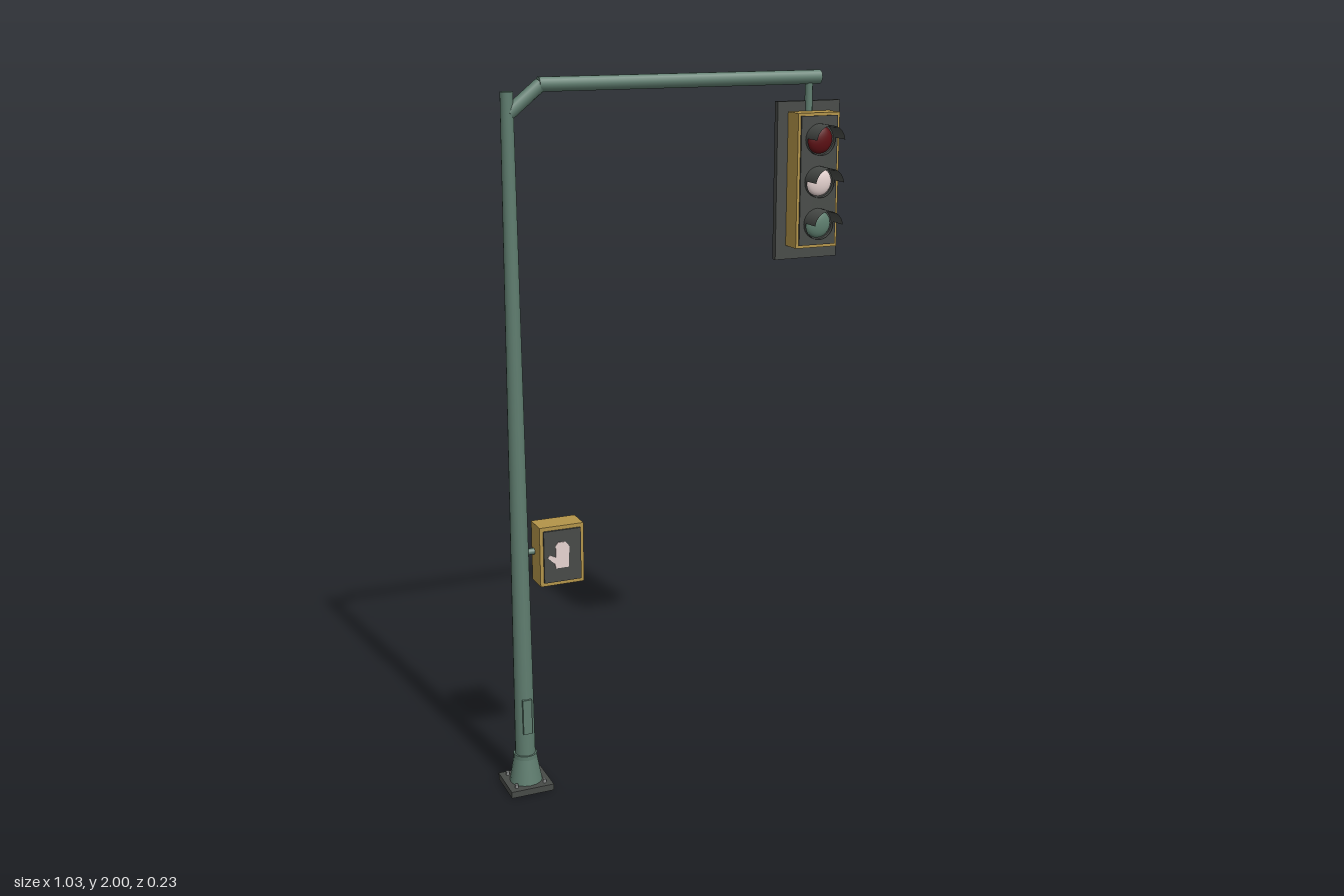
import * as THREE from 'three';

const mat = (name, color, side = THREE.FrontSide) => {
  const m = new THREE.MeshStandardMaterial({ color, side });
  m.name = name;
  return m;
};

export function createModel() {
  const green = mat('paintedGreen', 0x5f7d6f);
  const dark = mat('darkGrey', 0x474a47, THREE.DoubleSide);
  const yellow = mat('housingYellow', 0xb39449);
  const red = mat('redLens', 0x5e1014);
  const pale = mat('paleLens', 0xe6d3d0);
  const lensGreen = mat('greenLens', 0x5f8070);
  const steel = mat('steel', 0x8c8e8e);

  const model = new THREE.Group();
  model.name = 'trafficSignal';
  const add = (name, geo, material, x = 0, y = 0, z = 0, parent = model) => {
    const mesh = new THREE.Mesh(geo, material);
    mesh.name = name;
    mesh.position.set(x, y, z);
    parent.add(mesh);
    return mesh;
  };
  // Box given by its limits on each axis
  const box = (name, material, x0, x1, y0, y1, z0, z1) =>
    add(name, new THREE.BoxGeometry(x1 - x0, y1 - y0, z1 - z0), material,
      (x0 + x1) / 2, (y0 + y1) / 2, (z0 + z1) / 2);
  // Straight round bar between two points
  const bar = (name, material, a, b, r, sides) => {
    const d = b.clone().sub(a);
    const mesh = add(name, new THREE.CylinderGeometry(r, r, d.length(), sides), material);
    mesh.position.copy(a).add(b).multiplyScalar(0.5);
    mesh.quaternion.setFromUnitVectors(new THREE.Vector3(0, 1, 0), d.normalize());
    return mesh;
  };
  const V = (x, y, z) => new THREE.Vector3(x, y, z);
  const PX = -0.454, PZ = -0.021; // pole axis

  // Base plate, bolts and flared foot
  box('basePlate', dark, PX - 0.063, PX + 0.063, 0, 0.019, PZ - 0.063, PZ + 0.063);
  for (const sx of [-1, 1]) for (const sz of [-1, 1])
    add('anchorBolt', new THREE.CylinderGeometry(0.005, 0.005, 0.012, 6), steel,
      PX + sx * 0.042, 0.024, PZ + sz * 0.042);
  add('foot', new THREE.CylinderGeometry(0.034, 0.047, 0.073, 16), green, PX, 0.0555, PZ);
  add('footCollar', new THREE.CylinderGeometry(0.034, 0.034, 0.014, 16), green, PX, 0.098, PZ);

  // Tapered pole with its access cover
  add('pole', new THREE.CylinderGeometry(0.017, 0.029, 1.875, 16), green, PX, 1.0275, PZ);
  box('accessCover', green, PX - 0.013, PX + 0.013, 0.175, 0.28, PZ, 0.012);

  // Mast arm with angled knee
  const knee = V(-0.362, 1.981, PZ);
  bar('armKnee', green, V(PX + 0.004, 1.91, PZ), knee, 0.0185, 10);
  bar('mastArm', green, V(-0.368, 1.981, PZ), V(0.45, 1.981, PZ), 0.0198, 10);

  // Signal head
  const SX = 0.418;
  bar('hanger', green, V(SX, 1.975, PZ), V(SX, 1.88, PZ), 0.011, 10);
  box('backplate', dark, 0.322, 0.515, 1.479, 1.917, -0.036, -0.018);
  box('signalHousing', yellow, SX - 0.064, SX + 0.064, 1.518, 1.889, -0.042, 0.043);
  box('signalDoor', dark, SX - 0.056, SX + 0.056, 1.526, 1.881, 0.042, 0.048);
  const lenses = [['redLens', red], ['middleLens', pale], ['greenLens', lensGreen]];
  lenses.forEach(([name, material], i) => {
    const unit = new THREE.Group();
    unit.name = name + 'Unit';
    unit.position.set(SX, 1.817 - i * 0.116, 0.047);
    model.add(unit);
    const dome = new THREE.SphereGeometry(0.039, 24, 8, 0, Math.PI * 2, 0, Math.PI / 2);
    dome.rotateX(Math.PI / 2).scale(1, 1, 0.4);
    add(name, dome, material, 0, 0, 0, unit);
    const ring = new THREE.CylinderGeometry(0.043, 0.043, 0.014, 24, 1, true);
    add('lensRing', ring.rotateX(Math.PI / 2), dark, 0, 0, 0.007, unit);
    // Hood over the upper half of the lens
    const arc = Math.PI * 0.94;
    const visor = new THREE.CylinderGeometry(0.043, 0.043, 0.068, 16, 1, true, Math.PI - arc / 2, arc);
    add('visor', visor.rotateX(Math.PI / 2), dark, 0, 0, 0.034, unit);
  });
  for (const y of [1.852, 1.598])
    box('rearClip', steel, SX - 0.013, SX + 0.013, y - 0.009, y + 0.009, -0.115, -0.071);

  // Pedestrian signal box
  bar('boxBracket', green, V(PX, 0.713, PZ), V(-0.405, 0.713, PZ), 0.009, 10);
  box('pedestrianBox', yellow, -0.412, -0.284, 0.624, 0.796, -0.04, 0.031);
  box('pedestrianFace', dark, -0.402, -0.294, 0.635, 0.785, 0.03, 0.037);
  // Raised hand symbol
  const hand = new THREE.Shape([
    [-0.369, 0.676], [-0.332, 0.676], [-0.329, 0.735], [-0.335, 0.745], [-0.341, 0.751],
    [-0.362, 0.751], [-0.369, 0.742], [-0.369, 0.708], [-0.387, 0.717], [-0.392, 0.709],
    [-0.372, 0.69],
  ].map(([x, y]) => new THREE.Vector2(x, y)));
  add('handSymbol', new THREE.ExtrudeGeometry(hand, { depth: 0.003, bevelEnabled: false }),
    pale, 0, 0, 0.037);

  return model;
}
